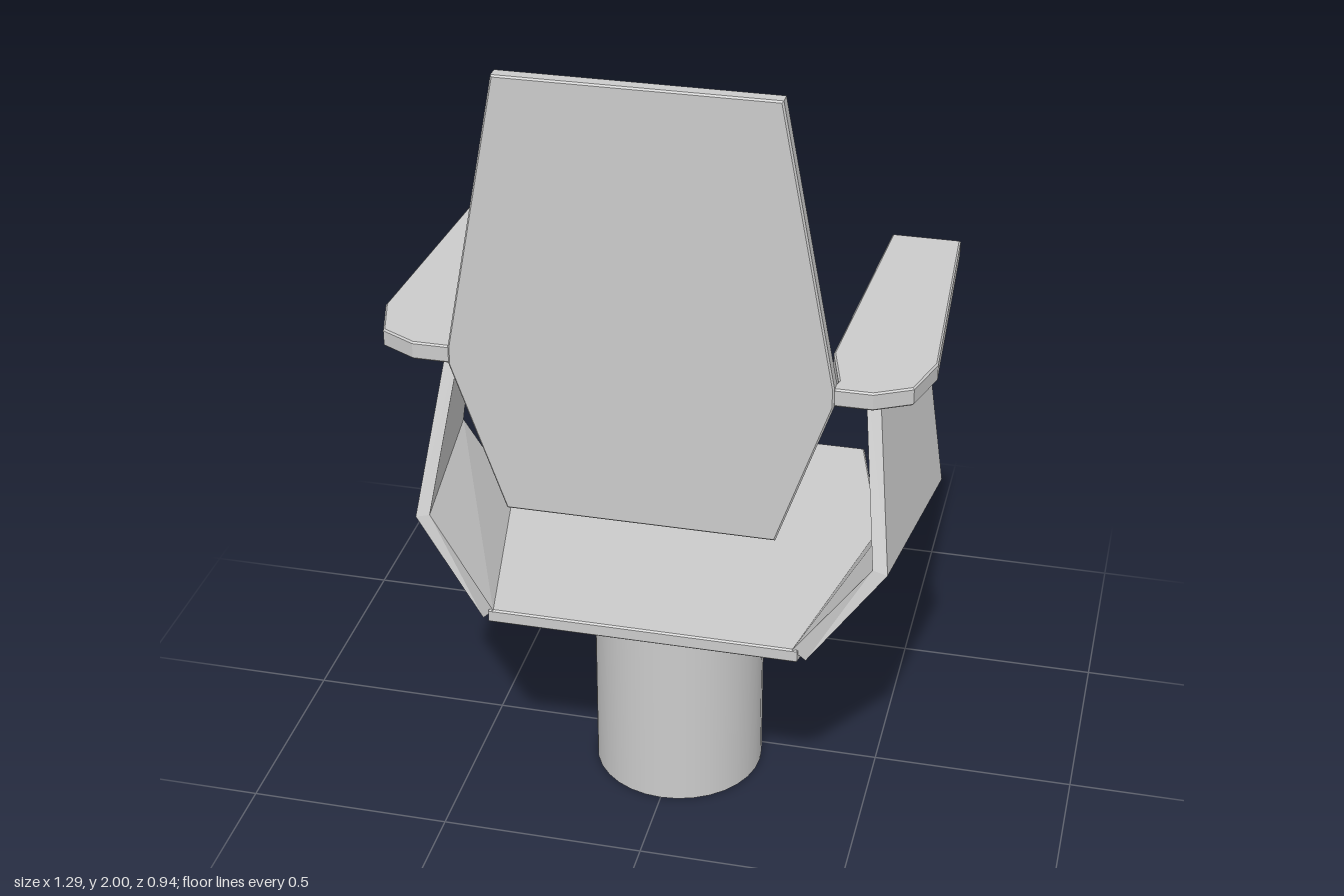
import * as THREE from 'three';

const material = new THREE.MeshStandardMaterial({ color: 0xcccccc, flatShading: true });
const smooth = new THREE.MeshStandardMaterial({ color: 0xcccccc, side: THREE.DoubleSide });

// Flat plate with a fine chamfer, extruded from a polygon outline
function plate(points, thickness) {
  const b = 0.004;
  const shape = new THREE.Shape(points.map(([x, y]) => new THREE.Vector2(x, y)));
  return new THREE.ExtrudeGeometry(shape, {
    depth: thickness - 2 * b, bevelEnabled: true, bevelSegments: 1,
    bevelSize: b, bevelThickness: b, bevelOffset: -b,
  }).translate(0, 0, b);
}

// Horizontal plate from [x, z] points, its underside at height y
function flatPlate(points, y, thickness) {
  return plate(points.map(([x, z]) => [x, -z]), thickness).rotateX(-Math.PI / 2).translate(0, y, 0);
}

// Mirrors half an outline to make a full symmetric one
const symmetric = half => [...half, ...half.map(([x, y]) => [-x, y]).reverse()];

// Folded panel: four-cornered sections joined from the seat up to the armrest
function sidePanel(side) {
  // each section: outer front, outer rear, inner rear, inner front
  const sections = [
    [[0.49, 0.6, -0.06], [0.39, 0.6, 0.455], [0.36, 0.635, 0.47], [0.465, 0.635, -0.06]],
    [[0.625, 0.825, -0.052], [0.565, 0.825, 0.4], [0.53, 0.835, 0.4], [0.587, 0.835, -0.052]],
    [[0.56, 1.295, -0.052], [0.503, 1.295, 0.24], [0.47, 1.295, 0.24], [0.525, 1.295, -0.052]],
  ];
  const index = [];
  const quad = (a, b, c, d) => index.push(...(side > 0 ? [a, c, b, a, d, c] : [a, b, c, a, c, d]));
  for (let r = 0; r < sections.length - 1; r++) {
    for (let i = 0; i < 4; i++) {
      const j = (i + 1) % 4;
      quad(r * 4 + i, r * 4 + j, r * 4 + 4 + j, r * 4 + 4 + i);
    }
  }
  quad(3, 2, 1, 0);
  quad(8, 9, 10, 11);
  const positions = sections.flat().flatMap(([x, y, z]) => [x * side, y, z]);
  let geometry = new THREE.BufferGeometry();
  geometry.setAttribute('position', new THREE.Float32BufferAttribute(positions, 3));
  geometry.setIndex(index);
  geometry = geometry.toNonIndexed();
  geometry.computeVertexNormals();
  return geometry;
}

export function createModel() {
  const group = new THREE.Group();
  const add = (name, geometry, mat = material) => {
    const mesh = new THREE.Mesh(geometry, mat);
    mesh.name = name;
    group.add(mesh);
  };

  // Open tubular pedestal
  add('pedestal', new THREE.CylinderGeometry(0.212, 0.212, 0.602, 32, 1, true).translate(0, 0.301, 0.072), smooth);

  // Six-sided seat
  add('seat', flatPlate(symmetric([[0.37, -0.473], [0.48, -0.06], [0.372, 0.47]]), 0.6, 0.035));

  // Upright backrest, widest where it meets the armrests
  add('backrest', plate(symmetric([[0.315, 2], [0.44, 1.335], [0.44, 1.29], [0.315, 0.928]]), 0.036)
    .translate(0, 0, 0.436));

  // Side panels and armrests
  const arm = [[0.44, -0.33], [0.607, -0.33], [0.643, 0.3], [0.608, 0.422],
    [0.525, 0.466], [0.43, 0.466], [0.441, 0.425], [0.408, 0.3]];
  for (const side of [1, -1]) {
    const label = side > 0 ? 'left' : 'right';
    add(label + 'SidePanel', sidePanel(side));
    add(label + 'Armrest', flatPlate(arm.map(([x, z]) => [x * side, z]), 1.29, 0.044));
  }
  return group;
}
